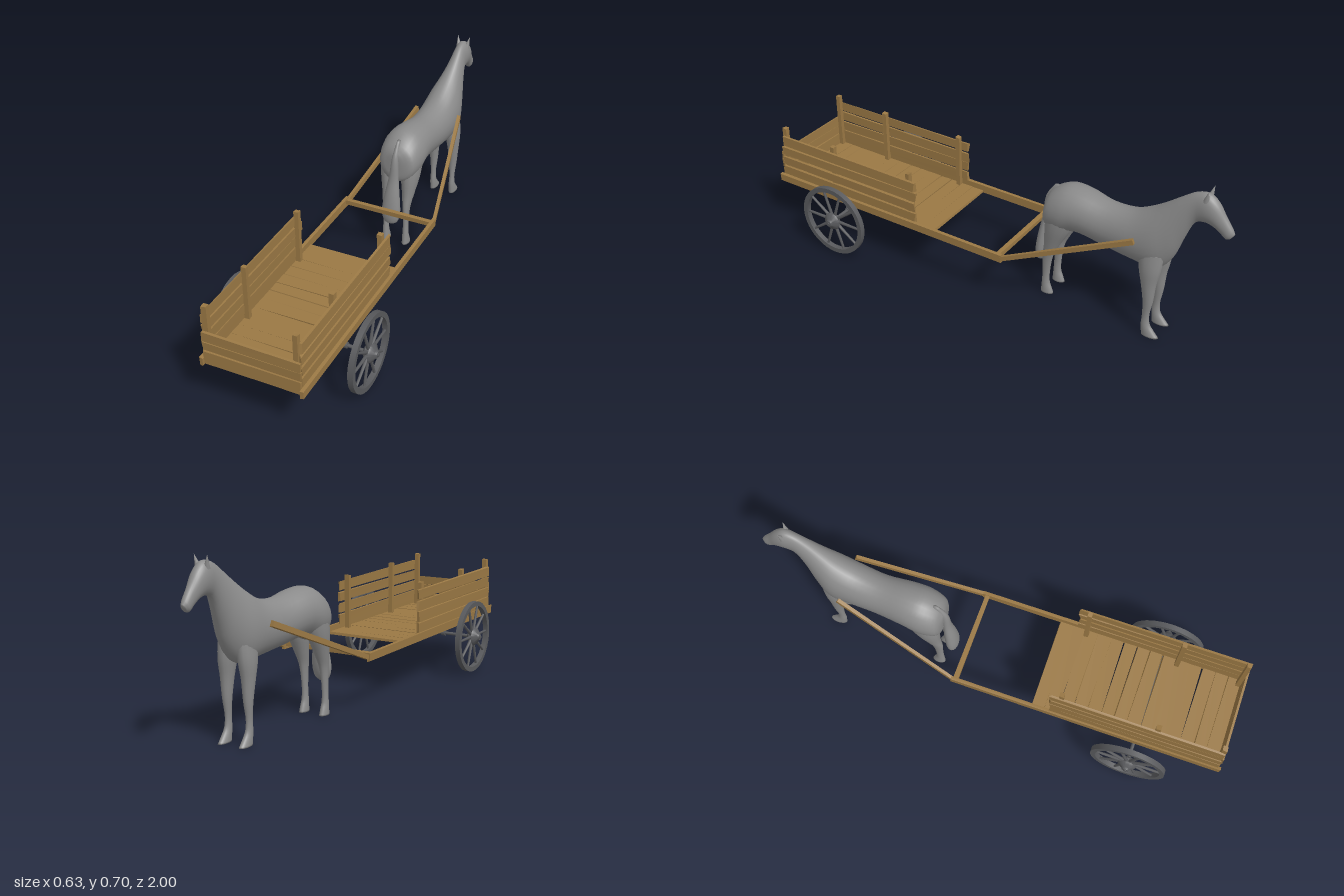
import * as THREE from 'three';
import { toCreasedNormals } from 'three/addons/utils/BufferGeometryUtils.js';

const wood = new THREE.MeshStandardMaterial({ color: 0x9a7844 });
const iron = new THREE.MeshStandardMaterial({ color: 0x58595c });
const hide = new THREE.MeshStandardMaterial({ color: 0x8a8a8a });

let seed = 7;
const rand = () => ((seed = (seed * 16807) % 2147483647) / 2147483647) * 2 - 1;

function add(parent, name, geometry, material, x = 0, y = 0, z = 0) {
  const mesh = new THREE.Mesh(geometry, material);
  mesh.name = name;
  mesh.position.set(x, y, z);
  parent.add(mesh);
  return mesh;
}

// Rough-sawn board: a box whose eight corners are nudged by up to j per axis
function board(w, h, d, j = [0, 0, 0]) {
  const g = new THREE.BoxGeometry(w, h, d);
  const p = g.attributes.position;
  const nudge = Array.from({ length: 8 }, () => j.map((s) => s * rand()));
  for (let i = 0; i < p.count; i++) {
    const n = nudge[(p.getX(i) > 0) + 2 * (p.getY(i) > 0) + 4 * (p.getZ(i) > 0)];
    p.setXYZ(i, p.getX(i) + n[0], p.getY(i) + n[1], p.getZ(i) + n[2]);
  }
  g.computeVertexNormals();
  return g;
}

// Smooth tube through oval sections [z1, y1, z2, y2, centreX, halfWidth],
// where 1 and 2 are the opposite edges of the section in the side plane
function loft(rows, sides = 18, steps = 4) {
  const a = new THREE.CatmullRomCurve3(rows.map((r) => new THREE.Vector3(r[4], r[1], r[0])));
  const b = new THREE.CatmullRomCurve3(rows.map((r) => new THREE.Vector3(r[5], r[3], r[2])));
  const pos = [], idx = [];
  const n = (rows.length - 1) * steps;
  for (let i = -1; i <= n + 1; i++) {
    const t = Math.min(Math.max(i / n, 0), 1);
    const p = a.getPoint(t), q = b.getPoint(t);
    const k = i < 0 || i > n ? 0 : 1; // end rings shrink to a point
    for (let s = 0; s < sides; s++) {
      const ang = (s / sides) * Math.PI * 2, c = k * Math.cos(ang) / 2;
      pos.push(p.x + k * q.x * Math.sin(ang), (p.y + q.y) / 2 + (p.y - q.y) * c, (p.z + q.z) / 2 + (p.z - q.z) * c);
      if (i > n) continue;
      const r = (i + 1) * sides, s2 = (s + 1) % sides;
      idx.push(r + s, r + s2, r + sides + s, r + s2, r + sides + s2, r + sides + s);
    }
  }
  const g = new THREE.BufferGeometry();
  g.setAttribute('position', new THREE.Float32BufferAttribute(pos, 3));
  g.setIndex(idx);
  g.computeVertexNormals();
  return g;
}

function createHorse() {
  const horse = new THREE.Group();
  horse.name = 'horse';
  // Rump to muzzle in one skin
  add(horse, 'bodyAndHead', loft([
    [-.225, .44, -.225, .38, -.02, .02],
    [-.25, .475, -.235, .31, -.02, .076],
    [-.31, .51, -.3, .3, -.02, .094],
    [-.38, .513, -.37, .325, -.018, .091],
    [-.5, .495, -.5, .311, -.01, .08],
    [-.6, .508, -.62, .3, -.003, .082],
    [-.68, .55, -.72, .295, 0, .08],
    [-.74, .595, -.775, .36, .005, .06],
    [-.79, .635, -.81, .456, .008, .042],
    [-.845, .672, -.85, .547, .008, .031],
    [-.89, .68, -.885, .56, .008, .033],
    [-.925, .655, -.92, .552, .008, .029],
    [-.96, .605, -.945, .535, .008, .021],
    [-.99, .562, -.968, .518, .008, .017],
    [-.999, .545, -.98, .52, .008, .009],
  ], 24), hide);
  add(horse, 'tail', loft([
    [-.275, .49, -.25, .49, -.02, .007],
    [-.245, .42, -.213, .43, -.02, .014],
    [-.235, .33, -.2, .33, -.022, .022],
    [-.232, .25, -.183, .25, -.024, .034],
    [-.225, .17, -.174, .17, -.025, .041],
    [-.215, .135, -.18, .13, -.025, .03],
    [-.205, .12, -.19, .12, -.025, .012],
  ]), hide);
  for (const [side, s] of [['Left', 1], ['Right', -1]]) {
    const hx = -.022 + s * .046, fx = .005 + s * .046;
    add(horse, 'hindLeg' + side, loft([
      [-.385, .43, -.25, .42, hx, .042],
      [-.35, .33, -.237, .33, hx, .04],
      [-.305, .25, -.235, .24, hx, .026],
      [-.277, .19, -.228, .18, hx, .016],
      [-.262, .1, -.23, .1, hx, .011],
      [-.262, .05, -.228, .05, hx, .013],
      [-.272, .022, -.226, .022, hx, .015],
      [-.28, 0, -.224, 0, hx, .016],
    ], 14), hide);
    add(horse, 'frontLeg' + side, loft([
      [-.755, .4, -.65, .4, fx * .8, .03],
      [-.75, .31, -.66, .31, fx * .95, .031],
      [-.737, .24, -.675, .24, fx, .024],
      [-.73, .16, -.688, .16, fx, .017],
      [-.72, .09, -.69, .09, fx, .011],
      [-.725, .05, -.688, .05, fx, .013],
      [-.745, .022, -.69, .022, fx, .015],
      [-.765, 0, -.692, 0, fx, .016],
    ], 14), hide);
    const ear = add(horse, 'ear' + side, new THREE.ConeGeometry(.012, .05, 10), hide, .008 + s * .023, .678, -.89);
    ear.rotation.set(-.2, 0, -s * .2);
  }
  return horse;
}

// Wheel built around +y, which becomes the outward axle direction
function createWheel(name) {
  const wheel = new THREE.Group();
  wheel.name = name;
  const lathe = (pts) => toCreasedNormals(
    new THREE.LatheGeometry(pts.map((p) => new THREE.Vector2(...p)), 40), .5);
  add(wheel, 'rim', lathe([[.135, -.011], [.155, -.011], [.155, .011], [.135, .011], [.135, -.011]]), iron);
  add(wheel, 'hub', lathe([[0, -.018], [.018, -.018], [.026, -.01], [.026, .008], [.039, .01],
    [.034, .018], [.018, .028], [.013, .036], [0, .036]]), iron);
  for (let i = 0; i < 10; i++) {
    const ang = (i / 10) * Math.PI * 2;
    const spoke = add(wheel, 'spoke', new THREE.CylinderGeometry(.005, .007, .125, 8), iron,
      Math.sin(ang) * .08, 0, Math.cos(ang) * .08);
    spoke.rotation.set(Math.PI / 2, 0, -ang);
    spoke.rotation.order = 'YXZ';
    spoke.rotation.set(Math.PI / 2, ang, 0);
  }
  return wheel;
}

function createCart() {
  const cart = new THREE.Group();
  cart.name = 'cart';
  for (const [side, s] of [['Left', 1], ['Right', -1]]) {
    const off = -.004; // the bed sits a touch to the right
    // Long rail and angled shaft
    add(cart, 'rail' + side, board(.014, .034, 1.14, [.001, .003, .002]), wood, s * .198 + off / 2, .22, .428);
    const from = new THREE.Vector3(s * .196, .222, -.14);
    const to = new THREE.Vector3(s * .099 - .006, .435, -.65);
    const shaft = add(cart, 'shaft' + side, board(.014, .021, from.distanceTo(to), [.001, .002, 0]), wood);
    shaft.position.copy(from).lerp(to, .5);
    shaft.lookAt(to);
    // Side boards with posts on the inside
    for (let i = 0; i < 4; i++) {
      add(cart, 'sideBoard' + side, board(.009, .041, .7, [.001, .003, .007]), wood,
        s * .191 + off, .256 + i * .048, .628);
    }
    for (const [z, top] of [[.97, .455], [.71, .445], [.32, .445]]) {
      add(cart, 'post' + side, board(.02, top - .21, .019, [.001, .002, .001]), wood,
        s * .176 + off * 1.7, (top + .21) / 2, z);
    }
    // Wheel and axle bracket
    const wheel = createWheel('wheel' + side);
    wheel.position.set(s * .277, .163, .643);
    wheel.rotation.z = -s * Math.PI / 2;
    cart.add(wheel);
    const bx = .023 + s * .16;
    add(cart, 'axleBracket' + side, new THREE.BoxGeometry(.009, .04, .012), iron, bx, .185, .643);
    add(cart, 'axleCollar' + side, new THREE.CylinderGeometry(.012, .012, .017, 16), iron, bx, .163, .643)
      .rotation.z = Math.PI / 2;
  }
  add(cart, 'axle', new THREE.CylinderGeometry(.007, .007, .634, 16), iron, 0, .163, .643).rotation.z = Math.PI / 2;
  add(cart, 'crossbar', board(.385, .02, .018, [.001, .002, .002]), wood, -.002, .225, -.122);
  // Floor planks
  for (let i = 0; i < 14; i++) {
    add(cart, 'floorPlank', board(.384, .011, .054, [.001, .001, .004]), wood, -.002, .208, .229 + i * .0557);
  }
  // Tailgate
  for (const [y, h] of [[.238, .054], [.288, .035], [.327, .04]]) {
    add(cart, 'tailBoard', board(.385, h, .01, [.003, .003, .001]), wood, -.003, y, .984);
  }
  return cart;
}

export function createModel() {
  const model = new THREE.Group();
  model.name = 'horseAndCart';
  model.add(createHorse(), createCart());
  return model;
}
